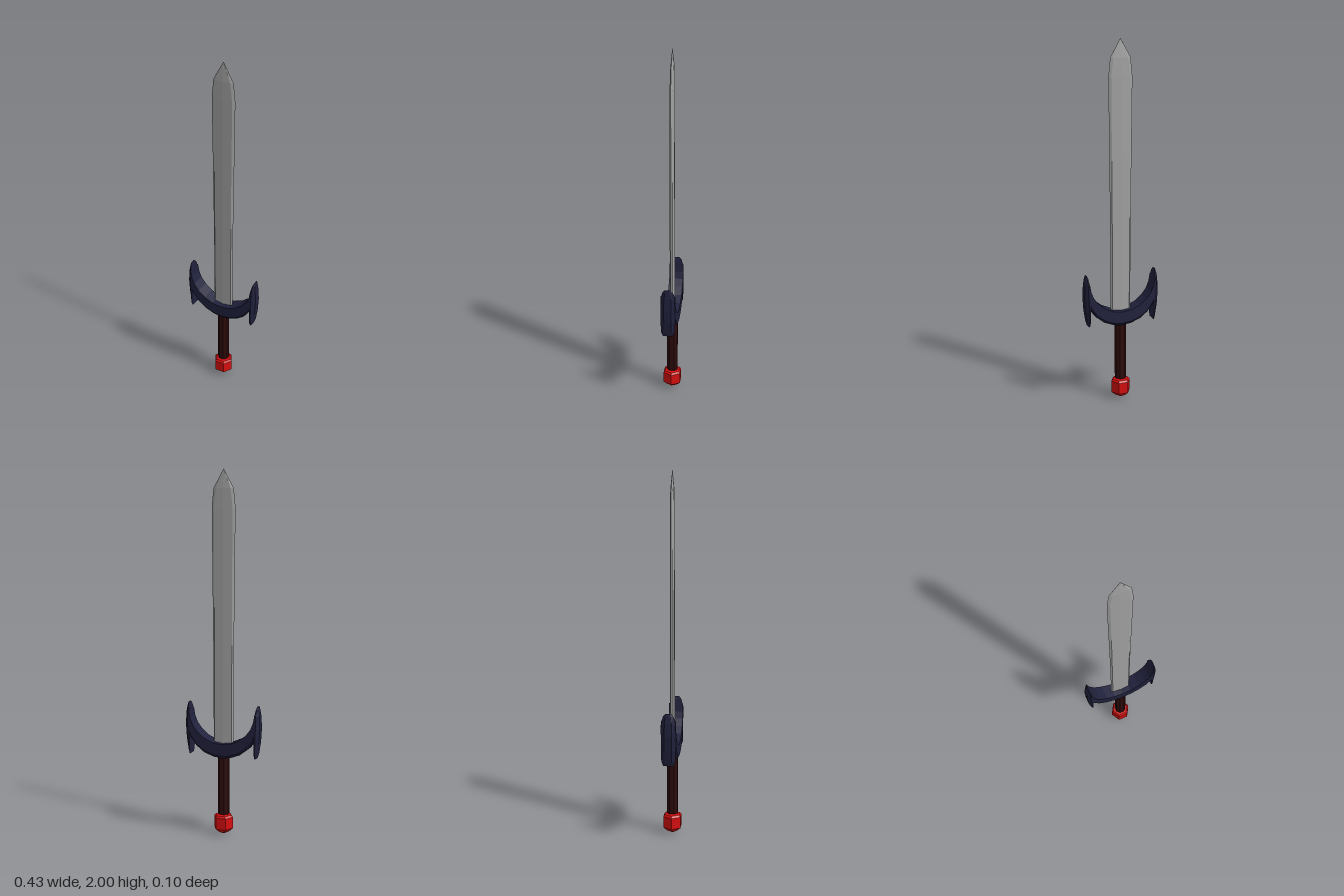
import * as THREE from 'three';

const mat = (name, color) => {
  const m = new THREE.MeshStandardMaterial({ color });
  m.name = name;
  return m;
};

// Skin a row of matching convex rings (counter-clockwise about the travel direction), with flat facets
function loft(rings) {
  const pos = [];
  const tri = (a, b, c) => pos.push(...a, ...b, ...c);
  const n = rings[0].length;
  for (let r = 0; r < rings.length - 1; r++) {
    const a = rings[r], b = rings[r + 1];
    for (let i = 0; i < n; i++) {
      const j = (i + 1) % n;
      tri(a[i], a[j], b[j]);
      tri(a[i], b[j], b[i]);
    }
  }
  const first = rings[0], last = rings[rings.length - 1];
  for (let i = 1; i < n - 1; i++) {
    tri(first[0], first[i + 1], first[i]);
    tri(last[0], last[i], last[i + 1]);
  }
  const g = new THREE.BufferGeometry();
  g.setAttribute('position', new THREE.Float32BufferAttribute(pos, 3));
  g.computeVertexNormals();
  return g;
}

export function createModel() {
  const steel = mat('steel', 0xa3a3a3);
  const navy = mat('dark navy metal', 0x20213c);
  const leather = mat('dark leather', 0x2e0b0b);
  const ruby = mat('ruby red', 0xd60e0e);

  const model = new THREE.Group();
  model.name = 'sword';
  const add = (name, geo, material, parent = model) => {
    const mesh = new THREE.Mesh(geo, material);
    mesh.name = name;
    parent.add(mesh);
    return mesh;
  };

  // Blade: y, half width, bevel width, half thickness
  add('blade', loft([
    [0.46, 0.057, 0.008, 0.01],
    [1.0, 0.059, 0.009, 0.01],
    [1.4, 0.063, 0.012, 0.01],
    [1.8, 0.067, 0.014, 0.009],
    [1.9, 0.057, 0.016, 0.008],
    [2.0, 0.001, 0.0005, 0.001],
  ].map(([y, w, b, t]) => [
    [w, y, 0], [w - b, y, -t * 0.8], [0, y, -t],
    [b - w, y, -t * 0.8], [-w, y, 0], [b - w, y, t * 0.8],
    [0, y, t], [w - b, y, t * 0.8],
  ])), steel);

  // Crescent crossguard: inner x, y and outer x, y for one half, mirrored
  const guard = new THREE.Group();
  guard.name = 'crossguard';
  model.add(guard);
  const half = [
    [0, 0.52, 0, 0.44],
    [0.05, 0.526, 0.05, 0.446],
    [0.1, 0.548, 0.105, 0.467],
    [0.14, 0.58, 0.15, 0.502],
    [0.168, 0.617, 0.182, 0.548],
    [0.183, 0.655, 0.199, 0.6],
    [0.191, 0.7, 0.2, 0.66],
  ];
  const arc = [
    ...half.slice(1).reverse().map(([a, b, c, d]) => [-a, b, -c, d]),
    ...half,
  ];
  const D = 0.04, E = 0.03;
  add('crescent', loft(arc.map(([ix, iy, ox, oy]) => {
    const mx = ox + (ix - ox) * 0.17, my = oy + (iy - oy) * 0.17;
    return [
      [ix, iy, -D], [ix, iy, D], [mx, my, D],
      [ox, oy, E], [ox, oy, -E], [mx, my, -D],
    ];
  })), navy, guard);

  // Upright horn plates: y, inner x, outer x, half depth
  const horn = loft([
    [0.45, 0.188, 0.193, 0.028],
    [0.475, 0.187, 0.2, 0.038],
    [0.54, 0.186, 0.21, 0.04],
    [0.62, 0.185, 0.215, 0.04],
    [0.69, 0.189, 0.211, 0.038],
    [0.725, 0.195, 0.206, 0.028],
    [0.74, 0.199, 0.203, 0.016],
  ].map(([y, a, b, d]) => {
    const m = a + (b - a) * 0.35;
    return [
      [b, y, d * 0.5], [b, y, -d * 0.5], [m, y, -d],
      [a, y, -d], [a, y, d], [m, y, d],
    ];
  }));
  add('leftHorn', horn, navy, guard);
  add('rightHorn', horn, navy, guard).rotation.y = Math.PI;

  // Grip with a narrow tang down into the pommel
  const gripGeo = new THREE.CylinderGeometry(0.032, 0.032, 0.345, 8).toNonIndexed();
  gripGeo.rotateY(Math.PI / 8);
  gripGeo.computeVertexNormals();
  add('grip', gripGeo, leather).position.y = 0.2905;
  add('tang', new THREE.CylinderGeometry(0.006, 0.006, 0.03, 6), leather).position.y = 0.115;

  // Six-sided cut gem pommel
  const profile = [[0, 0], [0.032, 0.016], [0.055, 0.036], [0.055, 0.1], [0.046, 0.111], [0, 0.111]]
    .map(([r, y]) => new THREE.Vector2(r, y));
  const gem = new THREE.LatheGeometry(profile, 6).toNonIndexed();
  gem.rotateY(Math.PI / 6);
  gem.computeVertexNormals();
  add('pommel', gem, ruby);

  return model;
}
